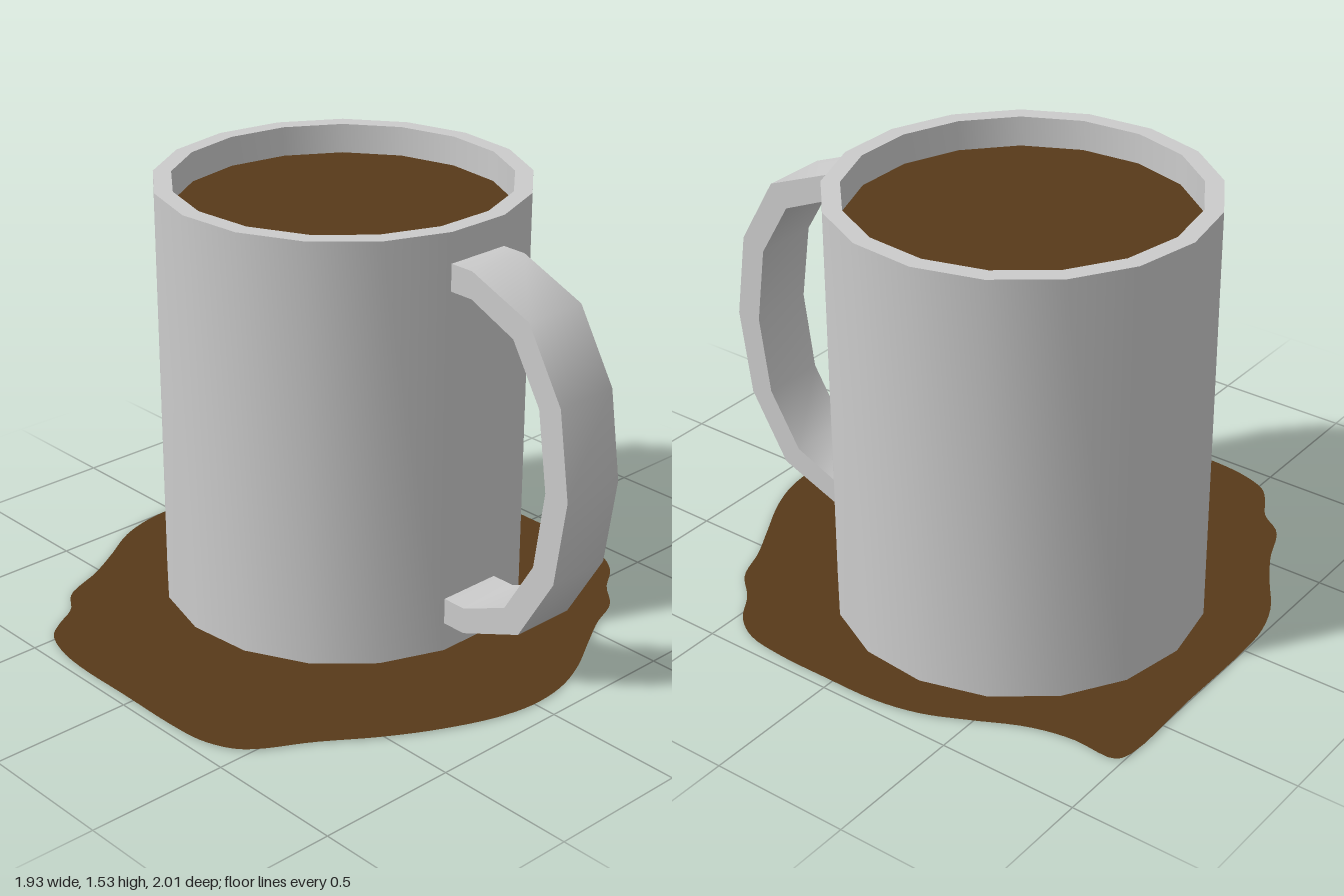
import * as THREE from 'three';
import { toCreasedNormals } from 'three/addons/utils/BufferGeometryUtils.js';

const SIDES = 17, OUTER = 0.65, INNER = 0.587, HEIGHT = 1.527;
const CX = 0.14, CZ = -0.17;

const v2 = ([x, y]) => new THREE.Vector2(x, y);

function addMesh(group, name, geometry, material) {
  const mesh = new THREE.Mesh(geometry, material);
  mesh.name = name;
  group.add(mesh);
  return mesh;
}

export function createModel() {
  const group = new THREE.Group();
  group.name = 'spilledMug';
  const ceramic = new THREE.MeshStandardMaterial({ color: 0xcccccc });
  const coffee = new THREE.MeshStandardMaterial({ color: 0x583a19, side: THREE.DoubleSide });

  // Mug body: hollow wall with a floor, one corner pointing to the back
  const wall = [[0, 0], [OUTER, 0], [OUTER, HEIGHT], [INNER, HEIGHT], [INNER, 0.06], [0, 0.06]].map(v2);
  const body = toCreasedNormals(new THREE.LatheGeometry(wall, SIDES, Math.PI), 0.6);
  addMesh(group, 'mugBody', body, ceramic).position.set(CX, 0, CZ);

  // Handle: band outlined as (z, y), mirrored about its mid height, then extruded across x
  const mid = 0.765;
  const outer = [[0.468, 1.42], [0.56, 1.42], [0.81, 1.32], [0.955, 1.075], [1, mid]];
  const inner = [[0.468, 1.325], [0.56, 1.325], [0.745, 1.245], [0.865, 1.045], [0.905, mid]];
  const mirrored = (half) => [...half, ...half.slice(0, -1).reverse().map(([z, y]) => [z, 2 * mid - y])];
  const band = new THREE.Shape([...mirrored(outer), ...mirrored(inner).reverse()].map(v2));
  const handle = new THREE.ExtrudeGeometry(band, { depth: 0.24, bevelEnabled: false });
  handle.rotateY(-Math.PI / 2);
  addMesh(group, 'handle', toCreasedNormals(handle, 0.8), ceramic).position.x = CX + 0.12;

  // Drink surface just below the rim
  const drink = new THREE.CircleGeometry(INNER, SIDES, Math.PI / 2).rotateX(-Math.PI / 2);
  addMesh(group, 'drinkSurface', drink, coffee).position.set(CX, 1.42, CZ);

  // Spilled puddle: irregular outline as (x, z), smoothed by a closed curve
  const outline = [
    [0, -1], [0.35, -1], [0.69, -1], [0.735, -0.972], [0.735, -0.81], [0.77, -0.66], [0.855, -0.487],
    [0.92, -0.345], [0.955, -0.185], [0.96, 0.03], [0.957, 0.24], [0.935, 0.38], [0.875, 0.475],
    [0.77, 0.55], [0.68, 0.645], [0.55, 0.7], [0.425, 0.77], [0.27, 0.857], [0.135, 0.905],
    [-0.01, 0.917], [-0.155, 0.89], [-0.34, 0.815], [-0.51, 0.72], [-0.695, 0.593], [-0.845, 0.507],
    [-0.905, 0.45], [-0.95, 0.345], [-0.963, 0.21], [-0.963, -0.04], [-0.963, -0.29], [-0.945, -0.42],
    [-0.905, -0.52], [-0.845, -0.57], [-0.755, -0.625], [-0.685, -0.715], [-0.525, -0.785],
    [-0.395, -0.86], [-0.26, -0.945], [-0.13, -0.988],
  ].map(([x, z]) => new THREE.Vector3(x, -z, 0));
  const edge = new THREE.CatmullRomCurve3(outline, true, 'centripetal').getPoints(160);
  edge.pop();
  const puddle = new THREE.ShapeGeometry(new THREE.Shape(edge.map((p) => new THREE.Vector2(p.x, p.y))));
  puddle.rotateX(-Math.PI / 2);
  addMesh(group, 'puddle', puddle, coffee).position.y = 0.004;

  return group;
}
